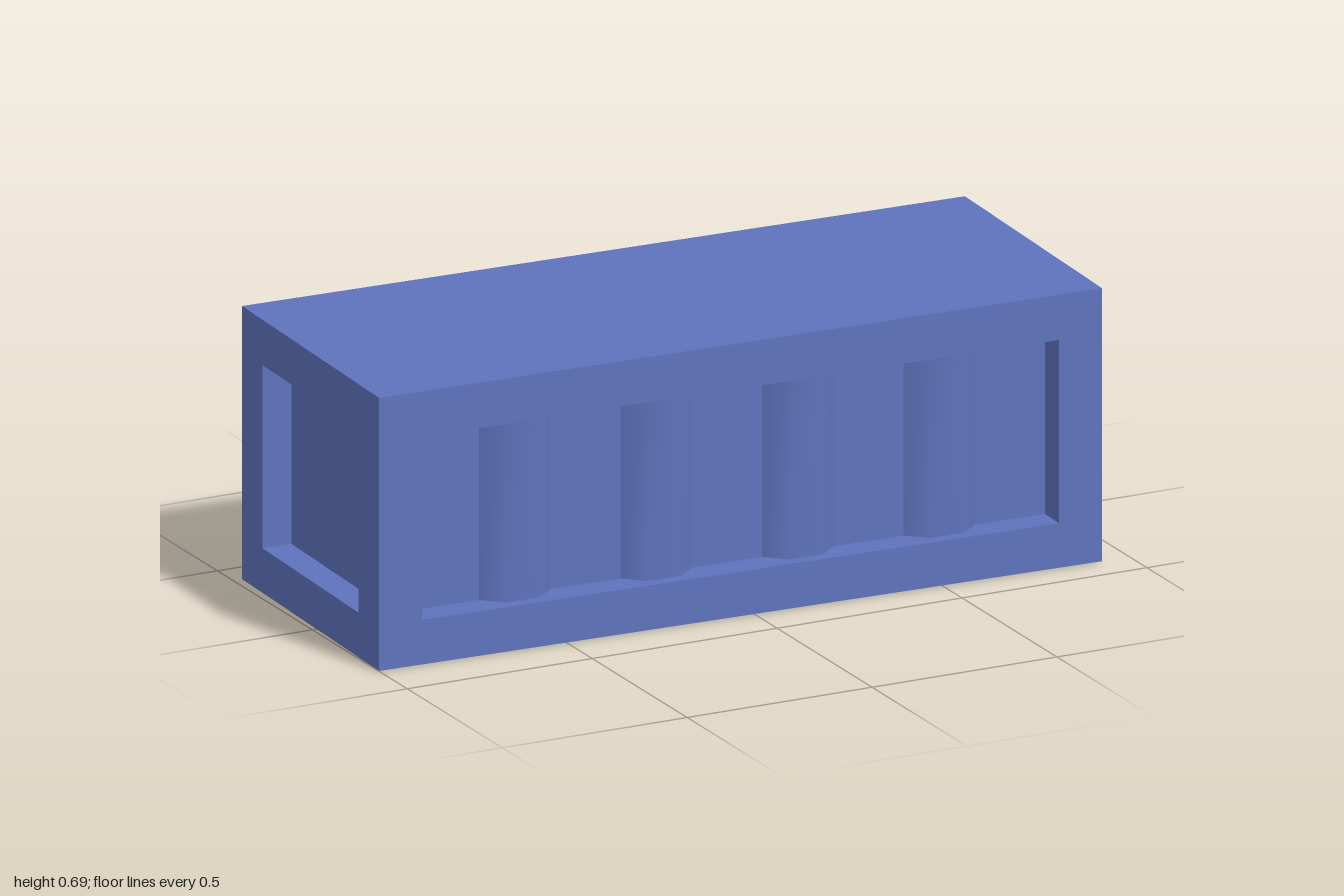
import * as THREE from 'three';

const HX = 0.963, HZ = 0.384, H = 0.695; // half length, half depth, height
const FRAME = 0.115, RECESS = 0.077;
const BASE = 0.002; // walls start just above the floor plate

const mat = (name, color, side = THREE.FrontSide) => {
  const m = new THREE.MeshStandardMaterial({ color, side });
  m.name = name;
  return m;
};

export function createModel() {
  const blue = mat('blue paint', 0x5f73bd);
  const red = mat('dark red underside', 0x8a2a2c);
  const steel = mat('light steel', 0x9a9eb4);
  const iron = mat('dark iron', 0x70727c);

  const model = new THREE.Group();
  model.name = 'cargoContainer';
  const body = new THREE.Group();
  body.name = 'container';
  body.position.x = -0.0275;
  body.rotation.y = -0.03;
  model.add(body);

  const add = (parent, name, geometry, material, x = 0, y = 0, z = 0) => {
    const mesh = new THREE.Mesh(geometry, material);
    mesh.name = name;
    mesh.position.set(x, y, z);
    parent.add(mesh);
    return mesh;
  };

  const polygon = (points) => new THREE.Shape(points.map(([x, y]) => new THREE.Vector2(x, y)));
  const rect = (hw, y0, y1) => [[-hw, y0], [hw, y0], [hw, y1], [-hw, y1]];

  // Window-like frame whose outer face lies on z = 0
  const frameGeometry = (half) => {
    const shape = polygon(rect(half, BASE, H));
    shape.holes.push(polygon(rect(half - FRAME, FRAME, H - FRAME)));
    return new THREE.ExtrudeGeometry(shape, { depth: RECESS, bevelEnabled: false })
      .translate(0, 0, -RECESS);
  };

  // Core whose sides form the recessed panels, and the underside
  add(body, 'recessedPanels',
    new THREE.BoxGeometry(2 * (HX - RECESS), H - BASE, 2 * (HZ - RECESS)), blue, 0, (H + BASE) / 2, 0);
  add(body, 'underside', new THREE.PlaneGeometry(2 * HX, 2 * HZ).rotateX(Math.PI / 2), red);

  // Vertical rib: trapezoid cross-section with shared vertices for soft shading
  const ribGeometry = () => {
    const profile = [[-0.095, 0], [-0.045, 0.045], [0.045, 0.045], [0.095, 0]];
    const pos = [], index = [];
    profile.forEach(([x, z]) => pos.push(x, FRAME, z, x, H - FRAME, z));
    for (let i = 0; i < profile.length - 1; i++) {
      const a = 2 * i;
      index.push(a, a + 2, a + 3, a, a + 3, a + 1);
    }
    const g = new THREE.BufferGeometry();
    g.setAttribute('position', new THREE.Float32BufferAttribute(pos, 3));
    g.setIndex(index);
    g.computeVertexNormals();
    return g;
  };

  // Long sides with four ribs each, and the two ends
  for (const s of [1, -1]) {
    const side = new THREE.Group();
    side.name = s > 0 ? 'frontSide' : 'backSide';
    side.position.z = s * HZ;
    side.rotation.y = s > 0 ? 0 : Math.PI;
    add(side, 'sideFrame', frameGeometry(HX), blue);
    for (let i = 0; i < 4; i++) {
      add(side, 'rib', ribGeometry(), blue, (i - 1.5) * 0.377, 0, -RECESS);
    }
    body.add(side);

    const end = add(body, s > 0 ? 'doorEndFrame' : 'plainEndFrame', frameGeometry(HZ), blue, s * HX);
    end.rotation.y = s * Math.PI / 2;
  }

  // Clamp block reaching from the recessed panel, with chamfered outer corners
  const clampGeometry = new THREE.ExtrudeGeometry(
    polygon([[-RECESS, -0.025], [0.0, -0.039], [0.043, -0.039], [0.061, -0.02],
      [0.061, 0.02], [0.043, 0.039], [0.0, 0.039], [-RECESS, 0.025]]),
    { depth: 0.077, bevelEnabled: false }).rotateX(-Math.PI / 2);

  const rod = (y0, y1) => new THREE.CylinderGeometry(0.0195, 0.0195, y1 - y0, 6)
    .translate(0, (y0 + y1) / 2, 0);

  // Handle outline: narrow at the rod, widening to a flat grip
  const handleGeometry = new THREE.ExtrudeGeometry(
    polygon([[0, -0.016], [0.018, -0.018], [0.078, -0.028], [0.154, -0.028],
      [0.154, 0.028], [0.078, 0.028], [0.018, 0.018], [0, 0.016]]),
    { depth: 0.042, bevelEnabled: false });

  // Two locking bars on the door end
  for (const s of [1, -1]) {
    const lock = new THREE.Group();
    lock.name = s > 0 ? 'frontLockingBar' : 'backLockingBar';
    lock.position.set(HX, 0, s * 0.116);
    add(lock, 'rod', rod(0.116, 0.635), steel, 0.029);
    add(lock, 'rodFoot', rod(0.058, 0.116), iron, 0.029);
    for (const y of [0.116, 0.483]) add(lock, 'clamp', clampGeometry, iron, 0, y, 0);
    const handle = add(lock, 'handle', handleGeometry, steel, s > 0 ? 0.048 : 0.006, 0.348, 0);
    handle.rotation.y = -s * Math.PI / 2;
    body.add(lock);
  }

  return model;
}
